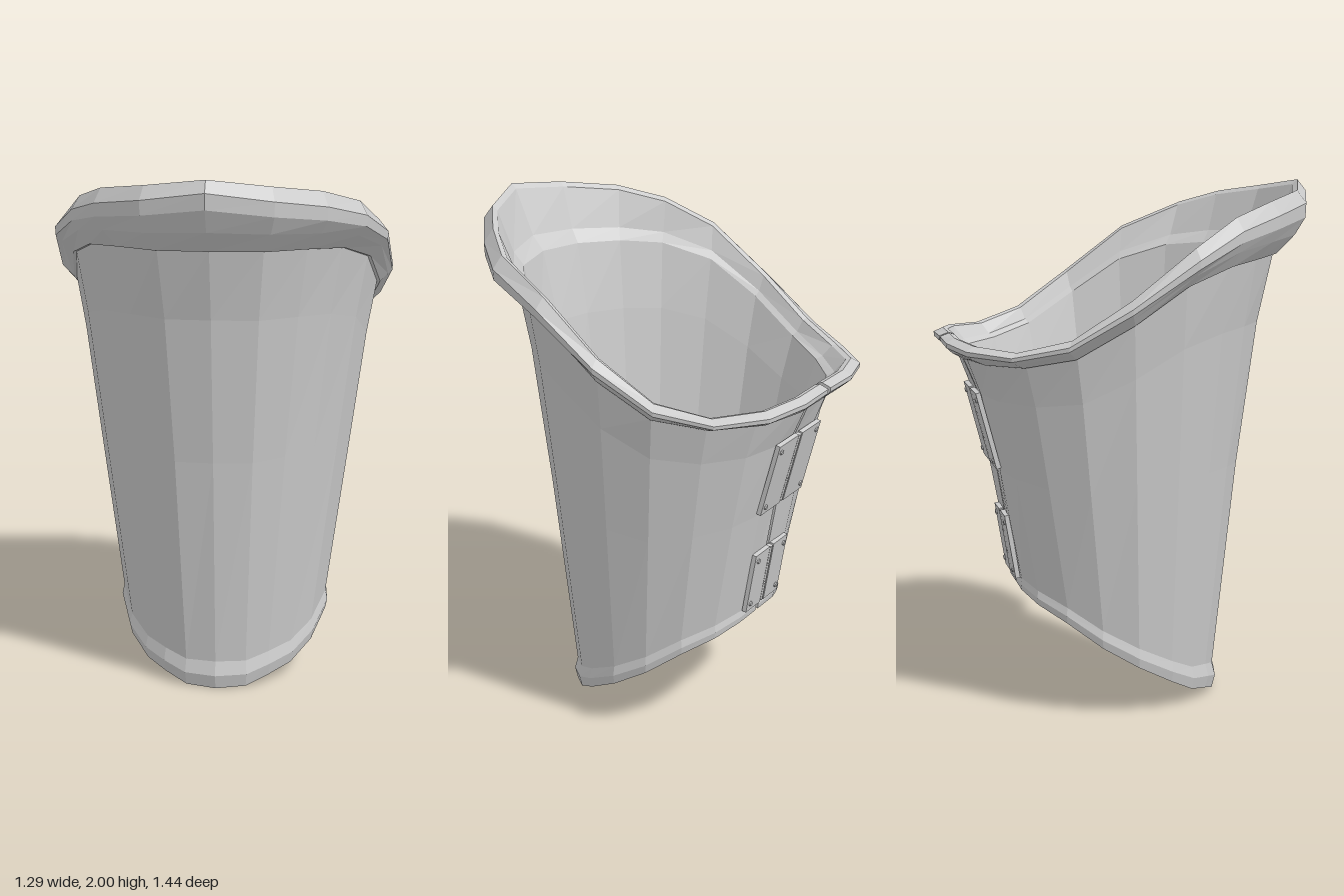
import * as THREE from 'three';

const GAP = 0.009;   // half width of the seam at the back
const HALF = 10;     // half outline steps, back to front

// Half outlines [x, z] from the back seam to the front, with their heights
const hemXZ = [[0, -.438], [.13, -.438], [.245, -.395], [.335, -.30], [.39, -.175], [.405, -.04], [.355, .10], [.28, .20], [.20, .275], [.115, .325], [0, .35]];
const hemY = [.455, .455, .425, .37, .28, .20, .12, .06, .035, .005, 0];
const neckXZ = [[0, -.64], [.15, -.64], [.30, -.585], [.44, -.465], [.545, -.30], [.585, -.10], [.55, .10], [.46, .285], [.34, .42], [.19, .53], [0, .57]];
const neckY = [1.36, 1.36, 1.355, 1.36, 1.40, 1.52, 1.65, 1.71, 1.725, 1.73, 1.735];
const rimXZ = [[0, -.72], [.18, -.72], [.35, -.67], [.50, -.53], [.60, -.34], [.645, -.12], [.625, .13], [.55, .37], [.415, .51], [.235, .645], [0, .72]];
const rimY = [1.44, 1.44, 1.43, 1.42, 1.47, 1.61, 1.79, 1.89, 1.94, 1.97, 2.0];
// The right side of the rim is a little flatter towards the front
const rimRightXZ = rimXZ.with(7, [.53, .315]).with(8, [.42, .485]);

const lerp = THREE.MathUtils.lerp;

// Point between two outlines, pushed outwards by off
function between(a, b, f, y, off) {
  const x = lerp(a[0], b[0], f), z = lerp(a[1], b[1], f);
  const cz = -0.04, r = Math.hypot(x, z - cz);
  return new THREE.Vector3(x + (x / r) * off, y, z + ((z - cz) / r) * off);
}

// Closed wall section at one step: up the outside, over the rim, down the inside
function section(i, rim) {
  const h = hemXZ[i], n = neckXZ[i], r = rim[i];
  const band = lerp(.04, .11, i / HALF);
  const y0 = hemY[i] + band;
  const side = Math.sin((Math.PI * i) / HALF);   // the sides flare more evenly
  const mid = .36 + .12 * side, high = .71 + .09 * side;
  const wall = (t, f, off) => between(h, n, f, lerp(y0, neckY[i], t), off);
  const flare = (f, t, off) => between(n, r, f, lerp(neckY[i], rimY[i], t), off);
  const hem = (up, off) => between(h, h, 0, hemY[i] + up, off);
  const points = [
    hem(.01, -.03), hem(0, 0), hem(band * .5, lerp(.003, .014, i / HALF)), hem(band, 0),
    wall(.5, mid, 0), wall(.84, high, 0), wall(1, 1, 0),
    flare(0, 0, .012), flare(.62, .3, .005), flare(.98, .62 - .15 * side, 0), flare(1, .84 - .14 * side, 0),
    flare(1, 1, -.035), flare(1, .93, -.055), flare(.35, .27, -.033), flare(0, .06, -.028),
    wall(.84, high, -.03), wall(.5, mid, -.03), hem(.01, -.03),
  ];
  if (i === 0) points.forEach((p) => { p.x = GAP; });
  return points;
}

// All sections in order: back, left side, front, right side, back
function allSections() {
  const left = Array.from({ length: HALF + 1 }, (_, i) => section(i, rimXZ));
  const right = Array.from({ length: HALF }, (_, i) => section(i, rimRightXZ)).reverse();
  right.flat().forEach((p) => { p.x *= -1; });
  return left.concat(right);
}

function named(name, geometry, material) {
  const mesh = new THREE.Mesh(geometry, material);
  mesh.name = name;
  return mesh;
}

// Skin over the sections between two positions of the wall profile
function skin(sections, from, to) {
  const pos = [], index = [], w = to - from + 1;
  sections.forEach((s) => s.slice(from, to + 1).forEach((p) => pos.push(p.x, p.y, p.z)));
  for (let u = 0; u < sections.length - 1; u++) {
    for (let v = 0; v < w - 1; v++) {
      const a = u * w + v, c = a + w;
      index.push(a, a + 1, c, c, a + 1, c + 1);
    }
  }
  const g = new THREE.BufferGeometry();
  g.setAttribute('position', new THREE.Float32BufferAttribute(pos, 3));
  g.setIndex(index);
  g.computeVertexNormals();
  return g;
}

// Flat end of the wall beside the seam
function seamEnd(points) {
  const contour = points.slice(0, -1);
  const faces = THREE.ShapeUtils.triangulateShape(contour.map((p) => new THREE.Vector2(p.z, p.y)), []);
  const g = new THREE.BufferGeometry().setFromPoints(contour);
  g.setIndex(faces.flat());
  g.computeVertexNormals();
  return g;
}

// Hinge with two leaves, rivets and a split pin; local -z faces outwards
function hinge(name, height, leafWidth, material) {
  const group = new THREE.Group();
  group.name = name;
  for (const side of [-1, 1]) {
    const leaf = named('hingeLeaf', new THREE.BoxGeometry(leafWidth, height, .018), material);
    leaf.position.set(side * (.014 + leafWidth / 2), 0, -.003);
    group.add(leaf);
    for (const ry of [-1, 1]) {
      const rivet = named('rivet', new THREE.CylinderGeometry(.009, .011, .008, 8), material);
      rivet.rotation.x = -Math.PI / 2;
      rivet.position.set(side * (leafWidth - .01), ry * (height / 2 - .03), -.014);
      group.add(rivet);
    }
  }
  for (let k = -1; k <= 1; k++) {
    const knuckle = named('knuckle', new THREE.CylinderGeometry(.012, .012, height / 3 - .008, 8), material);
    knuckle.position.set(0, k * height / 3, -.002);
    group.add(knuckle);
  }
  return group;
}

export function createModel() {
  const model = new THREE.Group();
  model.name = 'armGuard';
  const mat = new THREE.MeshStandardMaterial({ color: 0xcccccc, flatShading: true });
  const thin = new THREE.MeshStandardMaterial({ color: 0xcccccc, flatShading: true, side: THREE.DoubleSide });

  // Shell
  const sections = allSections();
  model.add(named('hem', skin(sections, 0, 3), mat));
  model.add(named('sleeve', skin(sections, 3, 6), mat));
  model.add(named('flaredCollar', skin(sections, 6, 14), mat));
  model.add(named('lining', skin(sections, 14, 17), mat));
  model.add(named('leftSeamEnd', seamEnd(sections[0]), thin));
  model.add(named('rightSeamEnd', seamEnd(sections[sections.length - 1]), thin));

  // Hinges bridging the seam
  const upper = hinge('upperHinge', .30, .145, mat);
  upper.position.set(0, 1.085, -.56);
  upper.rotation.x = -Math.atan(.26);
  const lower = hinge('lowerHinge', .25, .108, mat);
  lower.position.set(0, .625, -.468);
  lower.rotation.x = -Math.atan(.165);
  model.add(upper, lower);

  return model;
}
